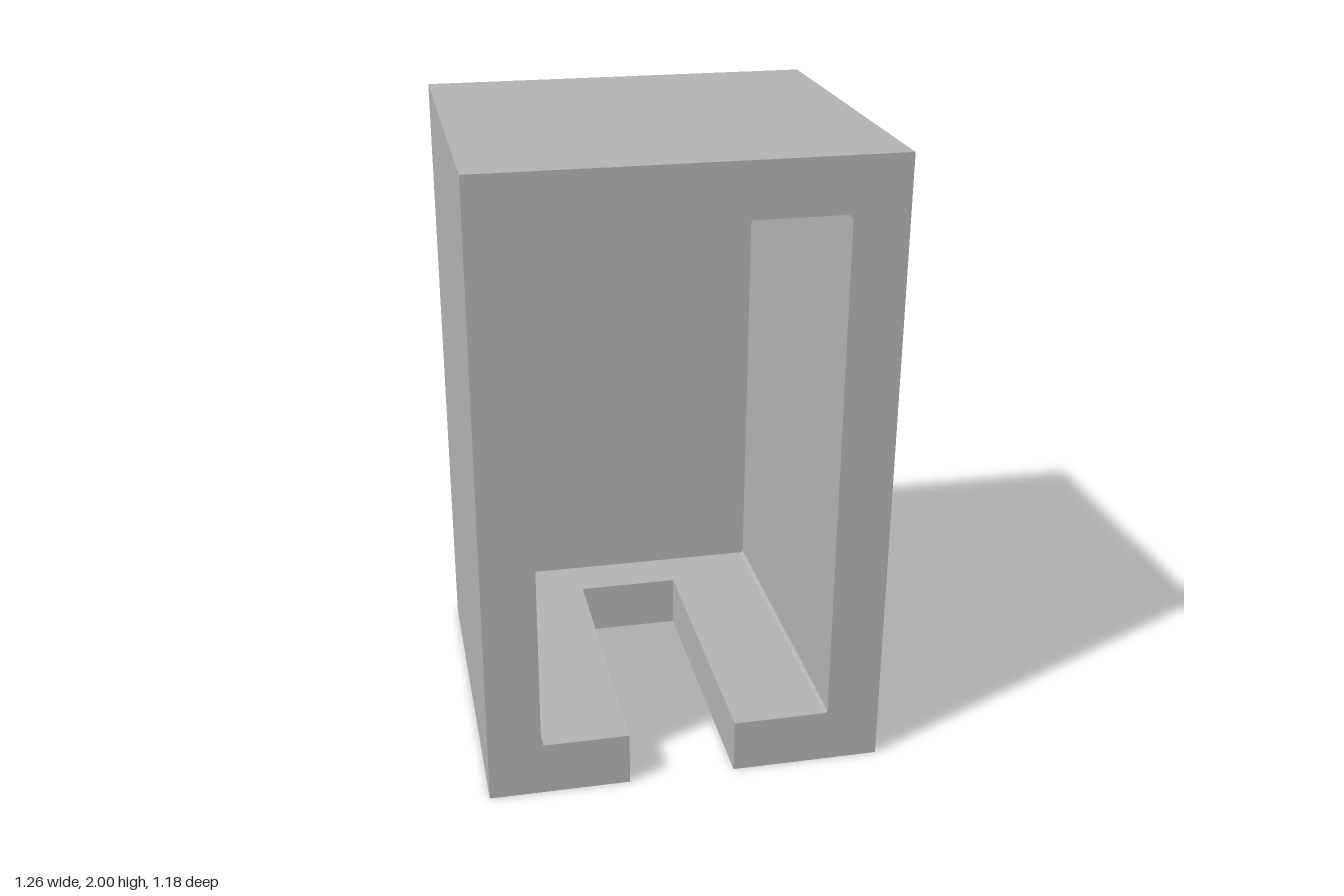
import * as THREE from 'three';

// Outer half width, height, half depth
const W = 0.632, H = 2, D = 0.592;
// Cavity opening and its small corner radius
const L = -0.465, R = 0.462, B = 0.175, T = 1.83, r = 0.012;
// Slot through the floor
const SL = -0.185, SR = 0.155;
// Depth positions of the cavity's back and the slot's end
const CAVITY_BACK = -0.512, SLOT_END = -0.35;

// Cavity outline, clockwise from its lower left corner to its lower right
function traceCavity(path) {
  const q = Math.PI / 2;
  path.absarc(L + r, B + r, r, -q, -2 * q, true);
  path.absarc(L + r, T - r, r, 2 * q, q, true);
  path.absarc(R - r, T - r, r, q, 0, true);
  path.absarc(R - r, B + r, r, 0, -q, true);
}

function extrude(name, shape, z0, z1, material) {
  const geometry = new THREE.ExtrudeGeometry(shape, {
    depth: z1 - z0, bevelEnabled: false, curveSegments: 3,
  });
  geometry.translate(0, 0, z0);
  const mesh = new THREE.Mesh(geometry, material);
  mesh.name = name;
  return mesh;
}

function outerRectangle() {
  return new THREE.Shape([[-W, 0], [W, 0], [W, H], [-W, H]].map(([x, y]) => new THREE.Vector2(x, y)));
}

export function createModel() {
  const group = new THREE.Group();
  group.name = 'slottedHousing';
  const grey = new THREE.MeshStandardMaterial({ color: 0xb2b2b2 });
  grey.name = 'grey';

  // Solid back wall
  group.add(extrude('backWall', outerRectangle(), -D, CAVITY_BACK, grey));

  // Closed frame behind the end of the slot
  const closed = outerRectangle();
  const hole = new THREE.Path();
  traceCavity(hole);
  hole.closePath();
  closed.holes.push(hole);
  group.add(extrude('rearFrame', closed, CAVITY_BACK, SLOT_END, grey));

  // Front frame with the floor slot running out to the front
  const slotted = new THREE.Shape();
  slotted.moveTo(SR, 0);
  slotted.lineTo(W, 0);
  slotted.lineTo(W, H);
  slotted.lineTo(-W, H);
  slotted.lineTo(-W, 0);
  slotted.lineTo(SL, 0);
  slotted.lineTo(SL, B);
  traceCavity(slotted);
  slotted.lineTo(SR, B);
  slotted.closePath();
  group.add(extrude('frontFrame', slotted, SLOT_END, D, grey));

  return group;
}
